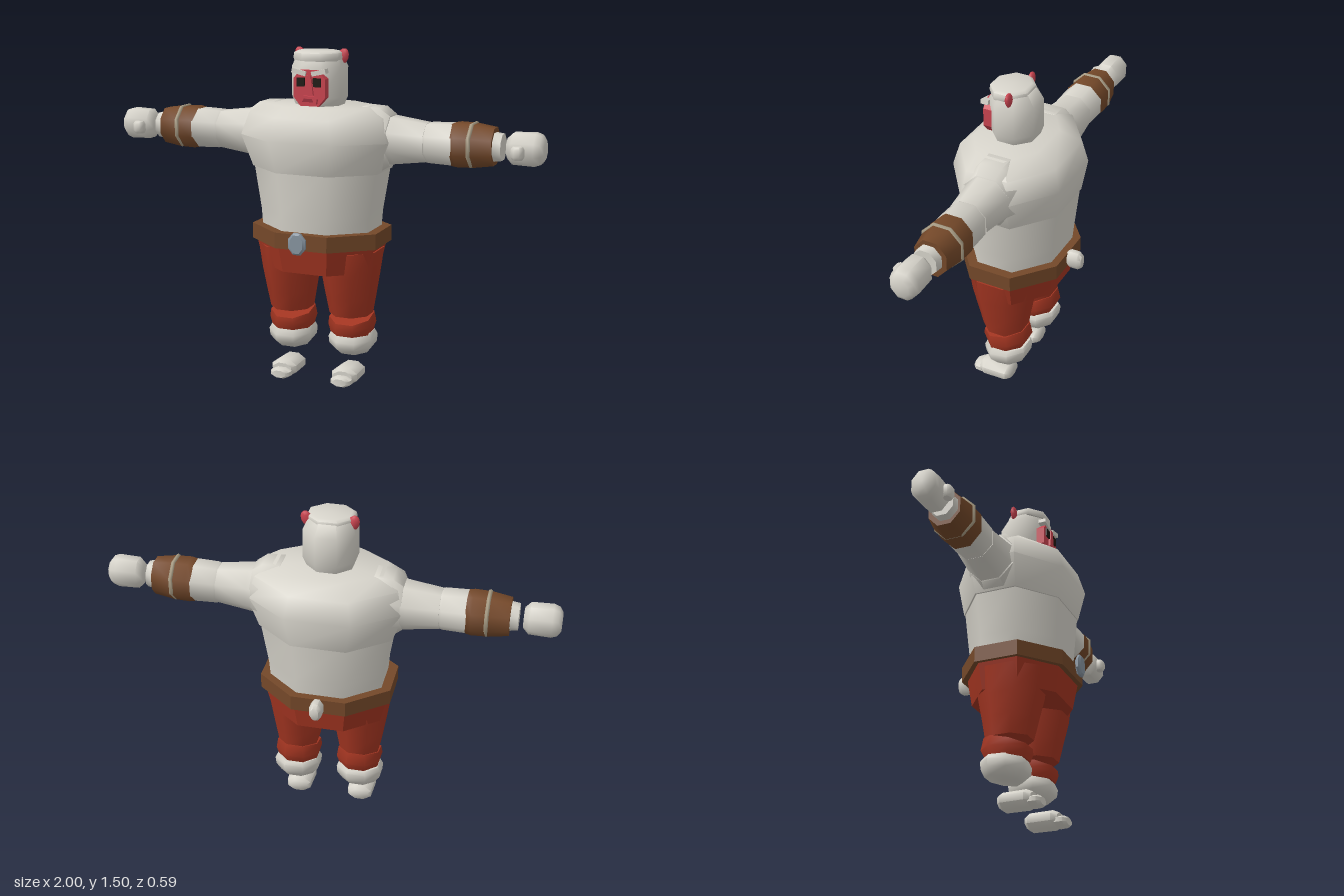
import * as THREE from 'three';
import { toCreasedNormals } from 'three/addons/utils/BufferGeometryUtils.js';

const flat = (name, color) => {
  const m = new THREE.MeshStandardMaterial({ color });
  m.name = name;
  return m;
};

export function createModel() {
  const fur = flat('pale fur', 0xd6d3ca), cloth = flat('red cloth', 0xa33521);
  const leather = flat('brown leather', 0x744829), cord = flat('tan cord', 0xa89c84);
  const skin = flat('pink skin', 0xc9434f), steel = flat('grey steel', 0x8794a0);
  const dark = flat('dark eyes', 0x1d1912), lip = flat('dark pink', 0x9a2f3c);
  const model = new THREE.Group();
  model.name = 'figure';

  const add = (name, geo, mat, pos = [0, 0, 0]) => {
    const m = new THREE.Mesh(geo, mat);
    m.name = name;
    m.position.set(...pos);
    model.add(m);
    return m;
  };

  // Eight-sided loft along y; ring = [y, halfX, halfZ, centreZ, slope of y over z]
  const loft = (rings, crease = 1) => {
    const N = 8, k = 1 / Math.cos(Math.PI / N), p = [];
    const at = (r, i) => {
      const a = (i + 0.5) / N * Math.PI * 2, dz = Math.sin(a) * r[2] * k;
      return [Math.cos(a) * r[1] * k, r[0] + dz * (r[4] || 0), (r[3] || 0) + dz];
    };
    const lo = rings[0], hi = rings[rings.length - 1];
    for (let i = 0; i < N; i++) {
      for (let j = 0; j < rings.length - 1; j++) {
        const a = at(rings[j], i), b = at(rings[j], i + 1);
        const c = at(rings[j + 1], i), d = at(rings[j + 1], i + 1);
        p.push(...a, ...c, ...b, ...b, ...c, ...d);
      }
      p.push(0, lo[0], lo[3] || 0, ...at(lo, i), ...at(lo, i + 1));
      p.push(0, hi[0], hi[3] || 0, ...at(hi, i + 1), ...at(hi, i));
    }
    const g = new THREE.BufferGeometry();
    g.setAttribute('position', new THREE.Float32BufferAttribute(p, 3));
    return toCreasedNormals(g, crease);
  };
  // Loft turned to run along z
  const loftZ = (rings, crease) => loft(rings, crease).rotateX(Math.PI / 2);
  // Flat polygon with depth
  const plate = (pts, depth) => new THREE.ExtrudeGeometry(
    new THREE.Shape(pts.map(q => new THREE.Vector2(...q))), { depth, bevelEnabled: false });

  // Torso
  add('chest', loft([
    [0.97, 0.295, 0.23, 0.005], [1.11, 0.345, 0.255, 0.01],
    [1.21, 0.31, 0.228, 0.008], [1.253, 0.24, 0.155, 0.03],
  ]), fur);
  add('belly', loft([
    [0.66, 0.25, 0.2, 0.008], [0.78, 0.258, 0.21, 0.007], [1.0, 0.292, 0.228, 0.005],
  ]), fur);

  // Belt, hips and tail
  add('belt', loft([[0.64, 0.295, 0.24, 0.01], [0.71, 0.295, 0.24, 0.01]], 0.5), leather);
  add('beltBuckle', loftZ([
    [0, 0.03, 0.04], [0.007, 0.04, 0.048], [0.017, 0.04, 0.048], [0.024, 0.03, 0.04],
  ], 0.5), steel, [0, 0.678, 0.273]);
  add('hips', loft([[0.525, 0.25, 0.198, 0.01], [0.65, 0.28, 0.218, 0.012]], 0.5), cloth);
  add('tail', loftZ([
    [-0.297, 0.018, 0.03], [-0.28, 0.028, 0.042], [-0.24, 0.028, 0.042], [-0.225, 0.02, 0.032],
  ]), fur, [0, 0.678, 0]);

  // Head and cap of hair
  add('head', loft([
    [1.24, 0.095, 0.09, 0.03], [1.29, 0.114, 0.106, 0.03],
    [1.42, 0.114, 0.106, 0.03], [1.47, 0.092, 0.078, 0.035],
  ]), fur);
  add('hairCap', loft([
    [1.447, 0.1, 0.085, 0.048], [1.458, 0.103, 0.089, 0.046],
    [1.48, 0.1, 0.087, 0.046], [1.488, 0.085, 0.072, 0.046],
  ]), fur);

  // Face
  add('face', plate([
    [-0.042, 1.257], [0.042, 1.257], [0.074, 1.295], [0.074, 1.375],
    [0.04, 1.412], [-0.04, 1.412], [-0.074, 1.375], [-0.074, 1.295],
  ], 0.05), skin, [0, 0, 0.1]);
  add('nose', plate([[-0.022, 1.305], [0.022, 1.305], [0.01, 1.39], [-0.01, 1.39]], 0.012),
    skin, [0, 0, 0.148]);
  add('muzzle', plate([
    [-0.038, 1.268], [0.038, 1.268], [0.042, 1.29], [0.024, 1.302], [-0.024, 1.302], [-0.042, 1.29],
  ], 0.02), skin, [0, 0, 0.145]);
  add('mouth', plate([[-0.026, 1.277], [0.026, 1.277], [0.018, 1.291], [-0.018, 1.291]], 0.004),
    lip, [0, 0, 0.164]);

  for (const s of [1, -1]) {
    const side = s > 0 ? 'left' : 'right';
    // Loft turned to run outward along x at arm height
    const arm = (name, rings, mat, crease) =>
      add(side + name, loft(rings, crease).rotateZ(-s * Math.PI / 2), mat, [0, 1.11, 0]);

    // Eye, brow and ear
    add(side + 'Eye', new THREE.BoxGeometry(0.036, 0.038, 0.008), dark, [s * 0.038, 1.36, 0.153]);
    add(side + 'Brow', new THREE.BoxGeometry(0.066, 0.02, 0.035), fur, [s * 0.046, 1.403, 0.142])
      .rotation.z = s * 0.22;
    const ear = add(side + 'Ear', new THREE.SphereGeometry(1, 8, 6), skin, [s * 0.1, 1.462, 0.012]);
    ear.scale.set(0.026, 0.037, 0.015);
    ear.rotation.z = -s * 0.35;

    // Arm
    arm('Shoulder', [[0.18, 0.12, 0.11], [0.205, 0.144, 0.125], [0.285, 0.14, 0.12],
      [0.33, 0.108, 0.105]], fur);
    arm('UpperArm', [[0.25, 0.115, 0.11], [0.35, 0.1, 0.1, -0.005], [0.49, 0.082, 0.085, -0.004]], fur);
    arm('Forearm', [[0.485, 0.08, 0.079, -0.004], [0.5, 0.084, 0.087, -0.004],
      [0.62, 0.088, 0.088, -0.004]], fur);
    arm('Bracer', [[0.6, 0.088, 0.086, -0.005], [0.625, 0.093, 0.091, -0.005],
      [0.7, 0.091, 0.087, -0.005], [0.785, 0.079, 0.072, -0.005]], leather);
    add(side + 'BracerCord', new THREE.TorusGeometry(0.093, 0.01, 6, 8)
      .rotateZ(Math.PI / 8).rotateY(Math.PI / 2), cord, [s * 0.69, 1.113, -0.004]);
    arm('Wrist', [[0.77, 0.062, 0.058], [0.82, 0.055, 0.052]], fur);

    // Hand and thumb
    arm('Hand', [[0.84, 0.042, 0.038], [0.865, 0.066, 0.058], [0.96, 0.069, 0.06],
      [0.985, 0.06, 0.053], [1.0, 0.038, 0.036]], fur);
    add(side + 'Thumb', loft([[-0.028, 0.02, 0.016], [-0.015, 0.028, 0.024],
      [0.015, 0.028, 0.024], [0.028, 0.02, 0.016]]), fur, [s * 0.897, 1.1, 0.065]);

    // Leg
    const legX = s * 0.145;
    add(side + 'Thigh', loft([[0.315, 0.09, 0.097, 0.012], [0.4, 0.104, 0.113, 0.016],
      [0.5, 0.119, 0.134, 0.02], [0.62, 0.135, 0.15, 0.02]]), cloth, [legX, 0, 0]);
    add(side + 'Shin', loft([[0.225, 0.09, 0.088, 0.005, -0.05], [0.265, 0.1, 0.104, 0, -0.1],
      [0.305, 0.094, 0.097, 0.005, -0.27]]), cloth, [legX, 0, 0]);
    add(side + 'Cuff', loft([[0.14, 0.076, 0.072, -0.015, -0.17], [0.17, 0.1, 0.097, -0.003, -0.12],
      [0.205, 0.103, 0.102, -0.003, -0.14], [0.23, 0.09, 0.09, -0.006, -0.05]]), fur, [s * 0.148, 0, 0]);

    // Foot and toe
    add(side + 'Foot', loftZ([[-0.025, 0.042, 0.026], [-0.008, 0.056, 0.038],
      [0.1, 0.06, 0.039], [0.127, 0.045, 0.028]]), fur, [s * 0.148, 0.04, 0]);
    add(side + 'Toe', loftZ([[0.1, 0.04, 0.02], [0.12, 0.048, 0.024],
      [0.15, 0.046, 0.023], [0.165, 0.032, 0.016]]), fur, [s * 0.148, 0.027, 0]);
  }
  return model;
}
